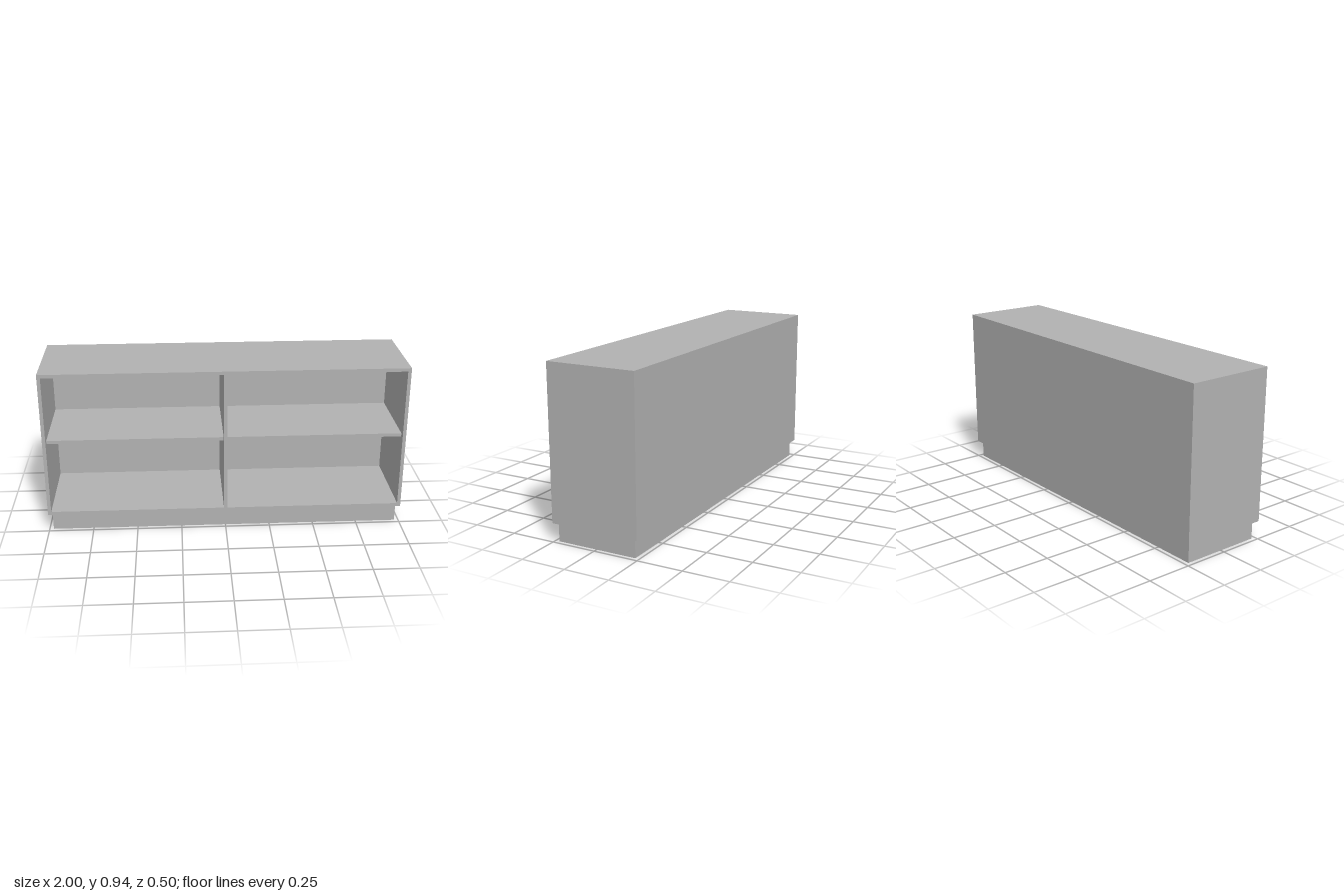
import * as THREE from 'three';

export function createModel() {
  const group = new THREE.Group();
  const grey = new THREE.MeshStandardMaterial({ color: 0xb2b2b2 });
  grey.name = 'grey board';

  // Board given by its minimum and maximum corners
  const board = (name, [x0, y0, z0], [x1, y1, z1]) => {
    const mesh = new THREE.Mesh(new THREE.BoxGeometry(x1 - x0, y1 - y0, z1 - z0), grey);
    mesh.position.set((x0 + x1) / 2, (y0 + y1) / 2, (z0 + z1) / 2);
    mesh.name = name;
    group.add(mesh);
  };

  const t = 0.019;                 // board thickness
  const bottom = 0.102, top = 0.938;
  const front = 0.25, back = -0.25;
  const inner = back + 0.01;       // inside face of the back panel
  const shelfY = 0.523;

  // Recessed base
  board('plinth', [-0.977, 0, -0.227], [0.977, bottom, 0.227]);

  // Carcass
  board('bottomPanel', [-1 + t, bottom, inner], [1 - t, bottom + t, front]);
  board('topPanel', [-1, top - t, back], [1, top, front]);
  board('backPanel', [-1 + t, bottom, back], [1 - t, top - t, inner]);
  board('divider', [-t / 2, bottom + t, inner], [t / 2, top - t, front]);

  // Side panels and set-back shelves, one pair per bay
  for (const [side, s] of [['left', 1], ['right', -1]]) {
    const span = (a, b) => [Math.min(s * a, s * b), Math.max(s * a, s * b)];
    const [p0, p1] = span(1 - t, 1);
    board(side + 'SidePanel', [p0, bottom, back], [p1, top - t, front]);
    const [q0, q1] = span(t / 2, 1 - t);
    board(side + 'Shelf', [q0, shelfY, inner], [q1, shelfY + t, front - 0.035]);
  }
  return group;
}
